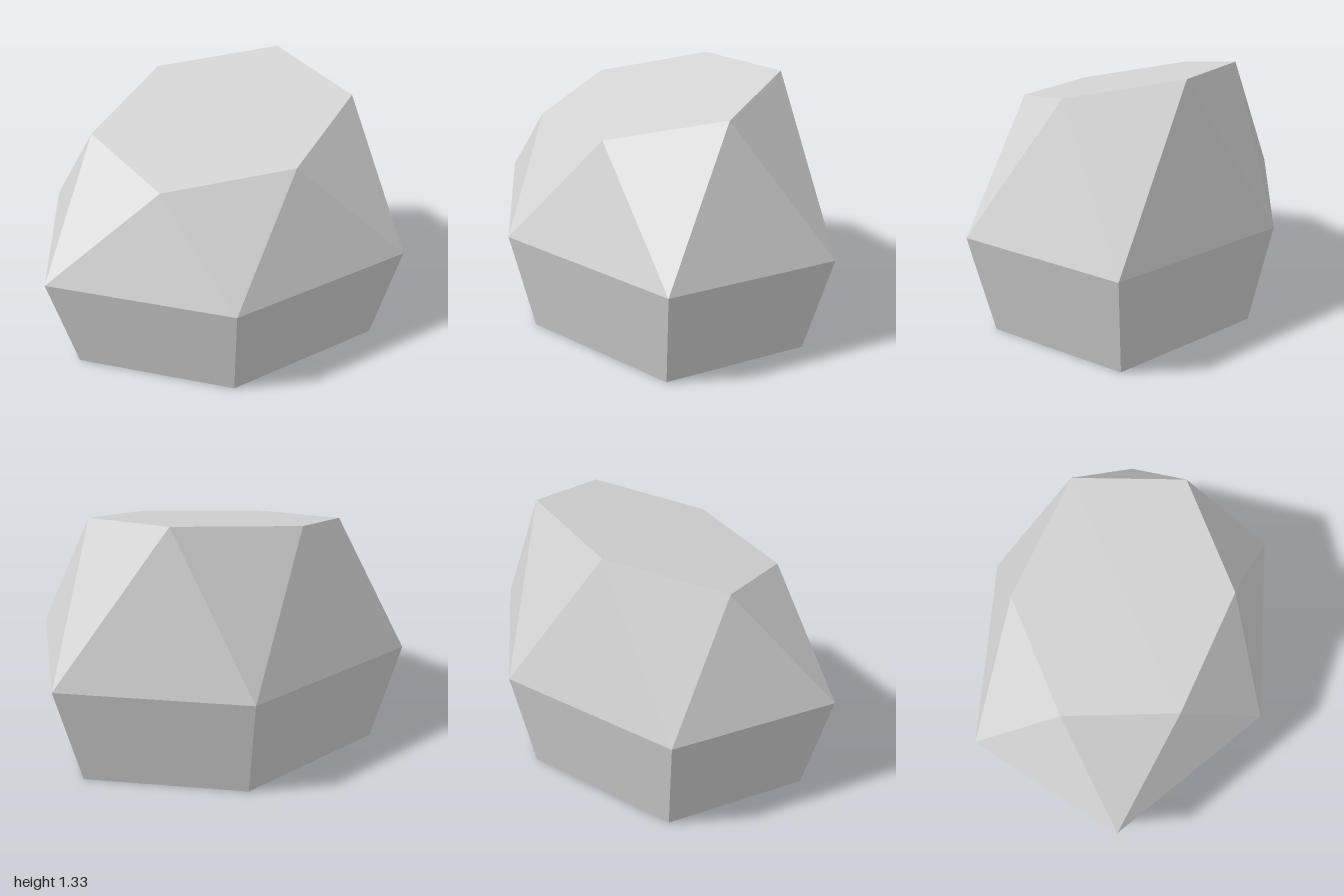
import * as THREE from 'three';

// Three corners [x, z], completed to a six-sided ring by half-turn symmetry.
// Corners run counter-clockwise seen from above, starting at the front.
function ring(half, scale, height) {
  const all = [...half, ...half.map(([x, z]) => [-x, -z])];
  return all.map(([x, z]) => [x * scale, height(x, z), z * scale]);
}

export function createModel() {
  const stone = new THREE.MeshStandardMaterial({ color: 0xd4d4d4 });
  stone.name = 'lightGreyStone';

  // Cross-sections: narrow base, wide waist, tilted and twisted crown
  const waistCorners = [[-0.178, 0.814], [0.795, 0.555], [1, -0.301]];
  const crownCorners = [[-0.437, 0.429], [0.214, 0.497], [0.656, 0.096]];
  const base = ring(waistCorners, 0.86, () => 0);
  const waist = ring(waistCorners, 1, () => 0.54);
  const crown = ring(crownCorners, 1, (x, z) => 1.183 + 0.122 * x - 0.209 * z);

  const positions = [];
  const face = (...corners) => {
    for (let i = 1; i < corners.length - 1; i++) {
      positions.push(...corners[0], ...corners[i], ...corners[i + 1]);
    }
  };

  for (let i = 0; i < 6; i++) {
    const j = (i + 1) % 6;
    face(base[i], base[j], waist[j], waist[i]); // lower wall
    face(waist[i], crown[j], crown[i]); // upper facet, point down
    face(waist[i], waist[j], crown[j]); // upper facet, point up
  }
  face(...crown); // sloping top
  face(...[...base].reverse()); // underside

  // Unshared corners give each facet its own flat normal
  const geometry = new THREE.BufferGeometry();
  geometry.setAttribute('position', new THREE.Float32BufferAttribute(positions, 3));
  geometry.computeVertexNormals();

  const rock = new THREE.Mesh(geometry, stone);
  rock.name = 'rock';
  const model = new THREE.Group();
  model.name = 'boulder';
  model.add(rock);
  return model;
}
